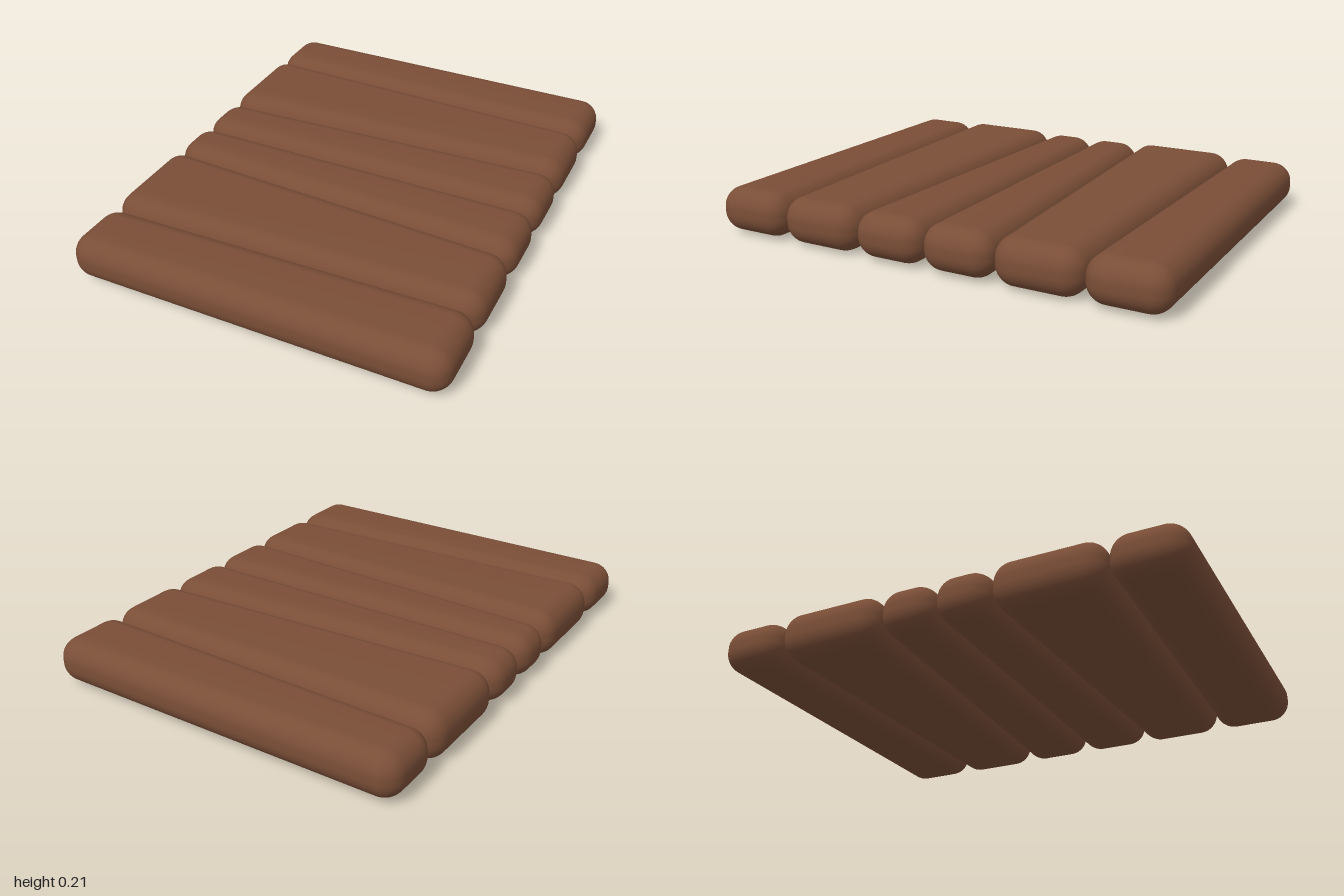
import * as THREE from 'three';
import { RoundedBoxGeometry } from 'three/addons/geometries/RoundedBoxGeometry.js';
import { mergeVertices } from 'three/addons/utils/BufferGeometryUtils.js';

const LENGTH = 1.6, HEIGHT = 0.19, RADIUS = 0.085, CENTER_Y = 0.103;

// Seam positions along z at each end of the planks (x = -0.8 and x = +0.8)
const SEAMS_MINUS_X = [-1, -0.71, -0.24, 0, 0.235, 0.7, 1];
const SEAMS_PLUS_X = [-1, -0.67, -0.31, 0, 0.31, 0.665, 1];

// Half-height grows slightly with the width of the plank's end
const halfHeight = (width) => 0.094 + 0.009 * THREE.MathUtils.clamp((width - 0.32) / 0.15, 0, 1);

// Rounded plank whose long edges follow two slanted seams
function plankGeometry(back, front) {
  const depth = 0.3;
  const rounded = new RoundedBoxGeometry(LENGTH, HEIGHT, depth, 6, RADIUS);
  rounded.deleteAttribute('normal');
  rounded.deleteAttribute('uv');
  const geometry = mergeVertices(rounded, 1e-5);
  geometry.clearGroups();
  const p = geometry.attributes.position;
  for (let i = 0; i < p.count; i++) {
    const t = p.getX(i) / LENGTH + 0.5;
    const zBack = THREE.MathUtils.lerp(back[0], back[1], t);
    const zFront = THREE.MathUtils.lerp(front[0], front[1], t);
    const z = p.getZ(i);
    p.setZ(i, z > 0 ? zFront + z - depth / 2 : zBack + z + depth / 2);
    p.setY(i, p.getY(i) * halfHeight(zFront - zBack) / (HEIGHT / 2));
  }
  geometry.computeVertexNormals();
  return geometry;
}

export function createModel() {
  const group = new THREE.Group();
  group.name = 'plankPanel';
  const wood = new THREE.MeshStandardMaterial({ color: 0x7a4e37 });
  wood.name = 'brownWood';

  // Six planks side by side, from back to front
  for (let i = 0; i < 6; i++) {
    const plank = new THREE.Mesh(
      plankGeometry(
        [SEAMS_MINUS_X[i], SEAMS_PLUS_X[i]],
        [SEAMS_MINUS_X[i + 1], SEAMS_PLUS_X[i + 1]]
      ),
      wood
    );
    plank.name = `plank${i + 1}`;
    plank.position.y = CENTER_Y;
    group.add(plank);
  }
  return group;
}
